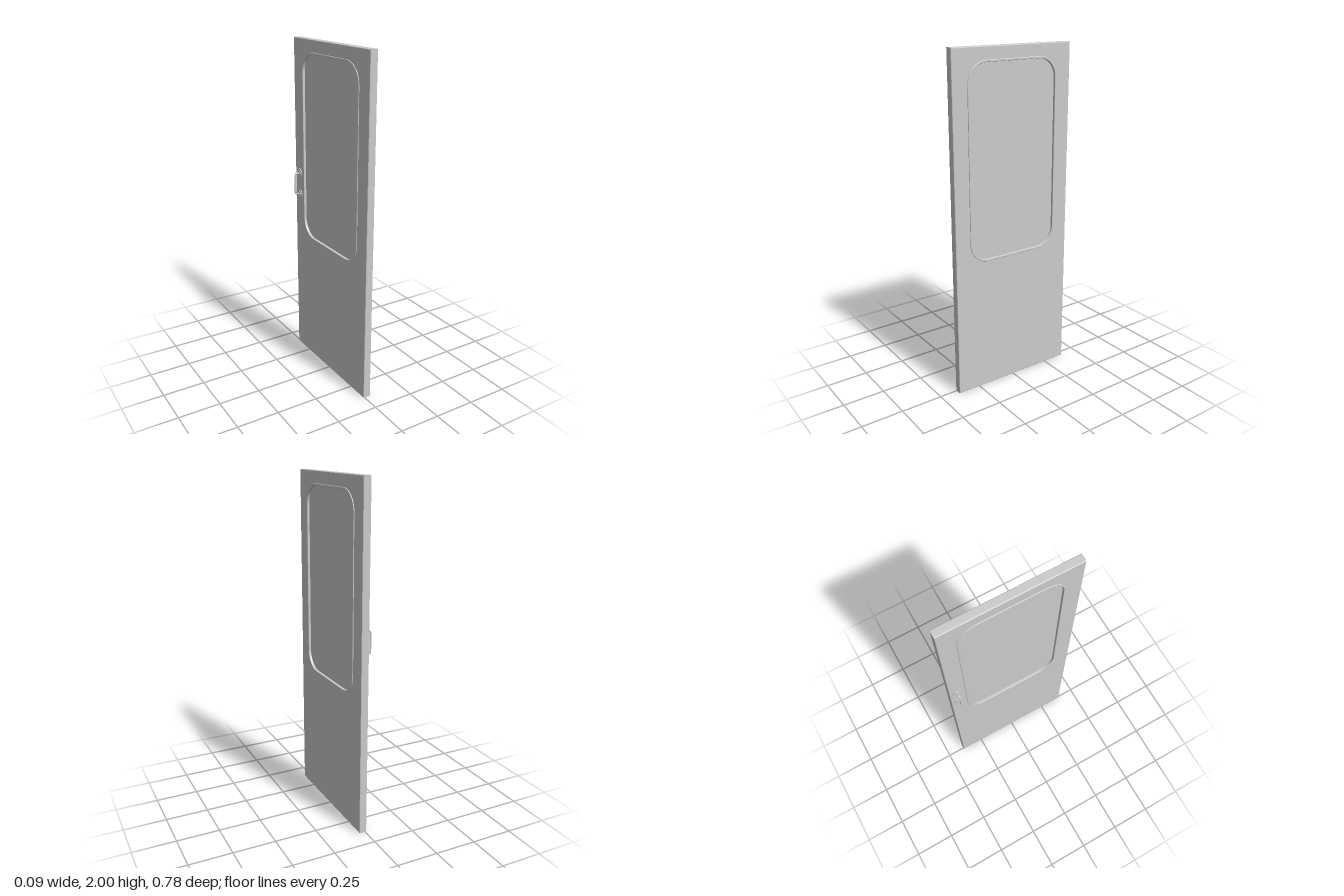
import * as THREE from 'three';

const material = new THREE.MeshStandardMaterial({ color: 0xcccccc });
const WINDOW_Y = 1.366; // height of the window's centre

// Rounded rectangle centred on (0, cy); r = 0 gives square corners
function roundedRect(Type, w, h, r, cy) {
  const s = new Type(), x = w / 2, t = cy + h / 2, b = cy - h / 2;
  s.moveTo(-x + r, b);
  s.lineTo(x - r, b);
  if (r) s.absarc(x - r, b + r, r, -Math.PI / 2, 0);
  s.lineTo(x, t - r);
  if (r) s.absarc(x - r, t - r, r, 0, Math.PI / 2);
  s.lineTo(-x + r, t);
  if (r) s.absarc(-x + r, t - r, r, Math.PI / 2, Math.PI);
  s.lineTo(-x, b + r);
  if (r) s.absarc(-x + r, b + r, r, Math.PI, Math.PI * 1.5);
  return s;
}

// Extrudes a z-y outline along x, from x0 to x1, with its edges eased by bevel
function slab(name, shape, x0, x1, bevel) {
  const geometry = new THREE.ExtrudeGeometry(shape, {
    depth: x1 - x0 - 2 * bevel,
    bevelEnabled: bevel > 0,
    bevelSize: bevel, bevelThickness: bevel, bevelOffset: -bevel, bevelSegments: 3,
    curveSegments: 8,
  });
  geometry.rotateY(Math.PI / 2);
  geometry.translate(x0 + bevel, 0, 0);
  const mesh = new THREE.Mesh(geometry, material);
  mesh.name = name;
  return mesh;
}

function disc(name, radius, x0, x1, y) {
  const mesh = new THREE.Mesh(new THREE.CylinderGeometry(radius, radius, x1 - x0, 24), material);
  mesh.rotation.z = Math.PI / 2;
  mesh.position.set((x0 + x1) / 2, y, 0);
  mesh.name = name;
  return mesh;
}

export function createModel() {
  const door = new THREE.Group();
  door.name = 'door';

  // Door leaf with the window opening
  const leaf = roundedRect(THREE.Shape, 0.78, 2, 0, 1);
  leaf.holes.push(roundedRect(THREE.Path, 0.58, 1.116, 0.115, WINDOW_Y));
  door.add(slab('doorLeaf', leaf, -0.008, 0.038, 0.005));

  // Slim frame standing proud on both faces
  const frame = roundedRect(THREE.Shape, 0.592, 1.128, 0.121, WINDOW_Y);
  frame.holes.push(roundedRect(THREE.Path, 0.568, 1.104, 0.109, WINDOW_Y));
  door.add(slab('windowFrame', frame, -0.012, 0.043, 0.003));

  // Recessed pane
  door.add(slab('windowPane', roundedRect(THREE.Shape, 0.58, 1.116, 0.115, WINDOW_Y), 0.003, 0.028, 0));

  // Pull handle on one face, with a stepped rosette at each end
  const handle = new THREE.Group();
  handle.name = 'handle';
  handle.position.z = -0.344;
  const low = 1.061, high = 1.192, out = -0.04, bend = 0.018;
  const v = (x, y) => new THREE.Vector3(x, y, 0);
  const path = new THREE.CurvePath();
  path.add(new THREE.LineCurve3(v(-0.008, low), v(out + bend, low)));
  path.add(new THREE.QuadraticBezierCurve3(v(out + bend, low), v(out, low), v(out, low + bend)));
  path.add(new THREE.LineCurve3(v(out, low + bend), v(out, high - bend)));
  path.add(new THREE.QuadraticBezierCurve3(v(out, high - bend), v(out, high), v(out + bend, high)));
  path.add(new THREE.LineCurve3(v(out + bend, high), v(-0.008, high)));
  const grip = new THREE.Mesh(new THREE.TubeGeometry(path, 64, 0.005, 12), material);
  grip.name = 'handleGrip';
  handle.add(grip);
  for (const y of [low, high]) {
    handle.add(disc('handleRosette', 0.031, -0.012, -0.006, y));
    handle.add(disc('handleCollar', 0.018, -0.016, -0.011, y));
  }
  door.add(handle);

  return door;
}
